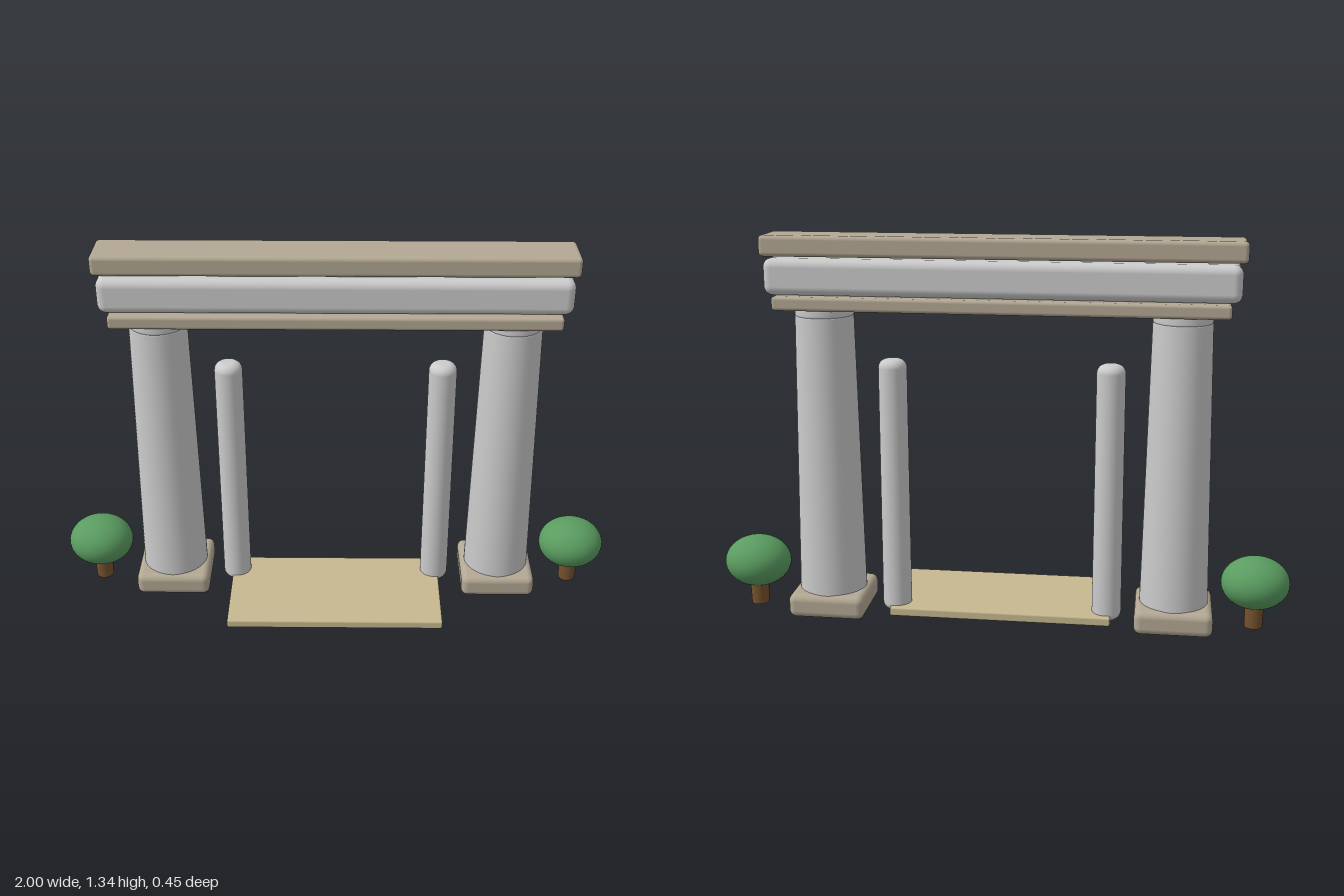
import * as THREE from 'three';
import { RoundedBoxGeometry } from 'three/addons/geometries/RoundedBoxGeometry.js';

const AXIS_Z = -0.095; // depth line shared by columns, beams, posts and shrubs

const mat = (color) => new THREE.MeshStandardMaterial({ color });
const grey = mat(0xcccccc);
const stone = mat(0xb3a894);
const sand = mat(0xc6b88f);
const leaf = mat(0x5a9c60);
const bark = mat(0x76522f);

function add(parent, name, geometry, material, x, y, z) {
  const mesh = new THREE.Mesh(geometry, material);
  mesh.name = name;
  mesh.position.set(x, y, z);
  parent.add(mesh);
  return mesh;
}

// Rounded slab given its half width, vertical span and depth span
function slab(parent, name, material, x, halfW, y0, y1, z0, z1, r) {
  const geo = new RoundedBoxGeometry(halfW * 2, y1 - y0, z1 - z0, 4, r);
  return add(parent, name, geo, material, x, (y0 + y1) / 2, (z0 + z1) / 2);
}

// Turned solid with softly rounded rims, r0 at the bottom and r1 at the top
function turned(r0, r1, height, bevel) {
  const pts = [new THREE.Vector2(0, 0)];
  const steps = 6;
  for (let i = 0; i <= steps; i++) {
    const a = (i / steps) * Math.PI / 2;
    pts.push(new THREE.Vector2(r0 - bevel + Math.sin(a) * bevel, bevel - Math.cos(a) * bevel));
  }
  for (let i = 0; i <= steps; i++) {
    const a = (i / steps) * Math.PI / 2;
    pts.push(new THREE.Vector2(r1 - bevel + Math.cos(a) * bevel, height - bevel + Math.sin(a) * bevel));
  }
  pts.push(new THREE.Vector2(0, height));
  return new THREE.LatheGeometry(pts, 48);
}

function addColumn(parent, side) {
  const column = new THREE.Group();
  column.name = side > 0 ? 'leftColumn' : 'rightColumn';
  column.position.x = side * 0.605;
  parent.add(column);
  slab(column, 'plinth', stone, 0, 0.134, 0.005, 0.09, -0.227, 0.038, 0.025);
  add(column, 'shaft', turned(0.118, 0.1, 0.99, 0.006), grey, 0, 0.08, AXIS_Z);
  add(column, 'neckRing', turned(0.1, 0.1, 0.04, 0.012), grey, 0, 1.062, AXIS_Z);
}

function addShrub(parent, side) {
  const shrub = new THREE.Group();
  shrub.name = side > 0 ? 'leftShrub' : 'rightShrub';
  shrub.position.set(side * 0.882, 0, AXIS_Z);
  parent.add(shrub);
  add(shrub, 'trunk', new THREE.CylinderGeometry(0.034, 0.031, 0.1, 24), bark, 0, 0.057, 0);
  const crown = add(shrub, 'crown', new THREE.SphereGeometry(1, 40, 28), leaf, 0, 0.168, 0);
  crown.scale.set(0.118, 0.091, 0.108);
}

export function createModel() {
  const gate = new THREE.Group();
  gate.name = 'gateway';

  // Mirrored supports, slim posts and shrubs
  for (const side of [-1, 1]) {
    addColumn(gate, side);
    add(gate, side > 0 ? 'leftPost' : 'rightPost', turned(0.051, 0.049, 0.91, 0.03),
      grey, side * 0.373, 0.01, AXIS_Z);
    addShrub(gate, side);
  }

  // Stacked beams over the opening
  slab(gate, 'lowerBeam', stone, 0, 0.758, 1.094, 1.142, -0.208, 0.018, 0.012);
  slab(gate, 'middleBeam', grey, 0, 0.79, 1.142, 1.266, -0.193, 0.006, 0.03);
  slab(gate, 'topBeam', stone, 0, 0.805, 1.27, 1.341, -0.176, -0.014, 0.015);

  // Threshold slab running through the gate towards the front
  slab(gate, 'threshold', sand, 0, 0.389, 0.005, 0.037, -0.165, 0.227, 0.007);

  return gate;
}
